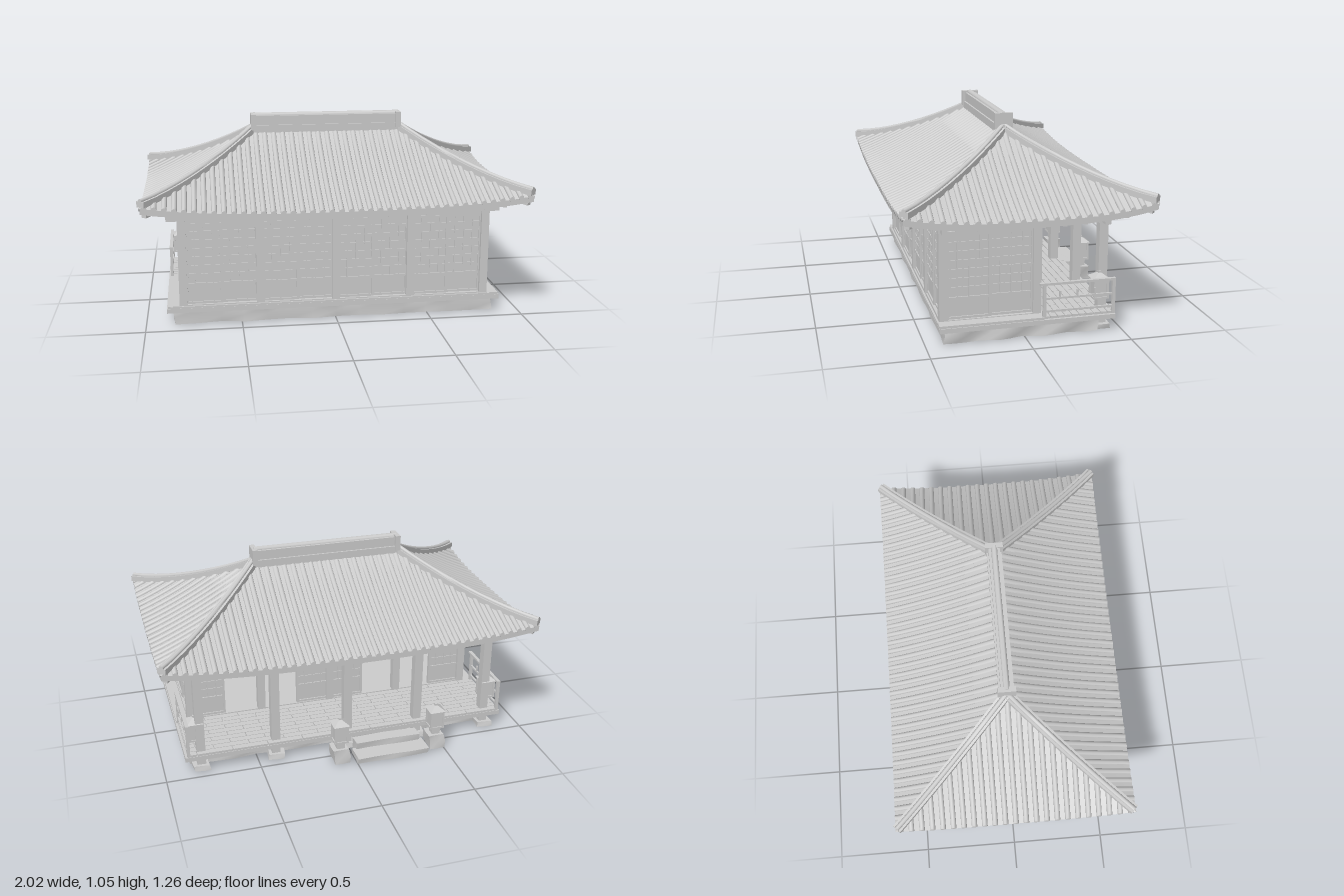
import * as THREE from 'three';
import { mergeGeometries, toCreasedNormals } from 'three/addons/utils/BufferGeometryUtils.js';
import { ParametricGeometry } from 'three/addons/geometries/ParametricGeometry.js';

const solid = new THREE.MeshStandardMaterial({ color: 0xcccccc });
const sheet = new THREE.MeshStandardMaterial({ color: 0xcccccc, side: THREE.DoubleSide });
const V = (x, y, z) => new THREE.Vector3(x, y, z);
const UP = V(0, 1, 0);
const EX = 1, EZ = 0.62, RIDGE = 0.4;   // eave half sizes, ridge half length

// box given by its limits
function box(x0, x1, y0, y1, z0, z1) {
  const g = new THREE.BoxGeometry(x1 - x0, y1 - y0, z1 - z0);
  return g.translate((x0 + x1) / 2, (y0 + y1) / 2, (z0 + z1) / 2);
}
// box given by centre, base height and size
const block = (x, y, z, w, h, d) => box(x - w / 2, x + w / 2, y, y + h, z - d / 2, z + d / 2);

// rough stone: a box whose corners wander a little
function stone(x, y, z, w, h, d, n = 2, amount = 0.006) {
  const g = new THREE.BoxGeometry(w, h, d, n, 2, n), p = g.attributes.position;
  for (let i = 0; i < p.count; i++) {
    const a = p.getX(i), b = p.getY(i), c = p.getZ(i);
    p.setXYZ(i, a + amount * Math.sin(23 * c + 40 * b + x * 9),
      b + (b < 0 ? 0.5 : 0.15) * amount * (1 + Math.sin(17 * a + 31 * c)),
      c + amount * Math.sin(19 * a + 50 * b));
  }
  g.translate(x, y + h / 2, z);
  g.computeVertexNormals();
  return g;
}

// sweeps a section of [side, up] points, counter-clockwise, along a path
function sweep(path, section) {
  const pos = [], n = section.length;
  const rings = path.map((p, i) => {
    const d = path[Math.min(i + 1, path.length - 1)].clone().sub(path[Math.max(i - 1, 0)]);
    const s = V(0, 0, 0).crossVectors(UP, d).normalize();
    return section.map(([a, b]) => p.clone().addScaledVector(s, a).addScaledVector(UP, b));
  });
  const tri = (...t) => t.forEach(v => pos.push(v.x, v.y, v.z));
  for (let i = 0; i + 1 < rings.length; i++)
    for (let j = 0; j < n; j++) {
      const k = (j + 1) % n, A = rings[i], B = rings[i + 1];
      tri(A[j], A[k], B[k]);
      tri(A[j], B[k], B[j]);
    }
  const first = rings[0], last = rings[rings.length - 1];
  for (let j = 1; j + 1 < n; j++) {
    tri(first[0], first[j + 1], first[j]);
    tri(last[0], last[j], last[j + 1]);
  }
  const g = new THREE.BufferGeometry();
  g.setAttribute('position', new THREE.Float32BufferAttribute(pos, 3));
  return toCreasedNormals(g, 0.9);
}
const rect = (w, h) => [[w / 2, -h / 2], [w / 2, h / 2], [-w / 2, h / 2], [-w / 2, -h / 2]];
const round = (r, n) => Array.from({ length: n }, (_, i) =>
  [r * Math.cos(i / n * 2 * Math.PI), r * Math.sin(i / n * 2 * Math.PI)]);

function part(parent, name, geos, mat = solid) {
  const flat = geos.map(g => {
    const f = g.index ? g.toNonIndexed() : g;
    f.deleteAttribute('uv');
    return f;
  });
  const m = new THREE.Mesh(mergeGeometries(flat), mat);
  m.name = name;
  parent.add(m);
  return m;
}

// roof height: t runs from ridge to eave, c from the middle of a face to its hip
const roofY = (t, c) => 0.635 + 0.325 * (0.72 * (1 - t) + 0.28 * (1 - t) ** 2)
  + 0.05 * Math.abs(c) ** 3 * t * t;
const soffitY = (t, c) => Math.min(roofY(t, c) - 0.034, 0.665);
const faces = [['z', 1], ['z', -1], ['x', 1], ['x', -1]];
// point on a roof face
function roofPoint([axis, sign], c, t, height = roofY) {
  const x = RIDGE + (EX - RIDGE) * t, z = EZ * t;
  return axis === 'z' ? V(c * x, height(t, c), sign * z) : V(sign * x, height(t, c), c * z);
}
// line down a roof face at a fixed distance along the eave
function slopeLine(face, along, t0, t1, steps, height) {
  return Array.from({ length: steps + 1 }, (_, i) => {
    const t = t0 + (t1 - t0) * i / steps;
    const half = face[0] === 'z' ? RIDGE + (EX - RIDGE) * t : EZ * t;
    return roofPoint(face, along / half, t, height);
  });
}

function buildRoof() {
  const roof = new THREE.Group();
  roof.name = 'roof';
  const skin = [], soffit = [], ribs = [], rafters = [], hips = [];
  for (const f of faces) {
    const grid = (fn, u, v) => new ParametricGeometry((a, b, p) => p.copy(fn(a * 2 - 1, b)), u, v);
    skin.push(grid((c, t) => roofPoint(f, c, t), 24, 10));
    skin.push(grid((c, k) => roofPoint(f, c, 0.99, (t, q) => roofY(t, q) - 0.034 * k), 24, 1));
    soffit.push(grid((c, t) => roofPoint(f, c, t * 0.99, soffitY), 24, 14));
    const long = f[0] === 'z', size = long ? EX : EZ, count = long ? 41 : 23;
    const startAt = s => Math.max(0.02, long ? (Math.abs(s) - RIDGE) / (EX - RIDGE) : Math.abs(s) / EZ);
    for (let i = 0; i < count; i++) {
      const s = ((i + 0.5) / count * 2 - 1) * size, t0 = startAt(s);
      if (t0 < 0.97) ribs.push(sweep(slopeLine(f, s, t0, 1, 8), round(0.0145, 8)));
    }
    // rafters below the eave
    const n = long ? 20 : 12;
    for (let i = 0; i < n; i++) {
      const s = ((i + 0.5) / n * 2 - 1) * size, t0 = Math.max(long ? 0.6 : 0.64, startAt(s));
      if (t0 < 0.9) rafters.push(sweep(slopeLine(f, s, t0, 0.955, 4, (t, c) => soffitY(t, c) - 0.009), rect(0.02, 0.02)));
    }
  }
  // hip ridges with upturned tips
  for (const sx of [1, -1]) for (const sz of [1, -1]) {
    const line = (t0, t1, lift) => Array.from({ length: 11 }, (_, i) => {
      const t = t0 + (t1 - t0) * i / 10;
      return V(sx * (RIDGE + (EX - RIDGE) * t), roofY(t, 1) + lift + 0.008 * t ** 8, sz * EZ * t);
    });
    hips.push(sweep(line(0.01, 0.985, 0.008), rect(0.05, 0.03)), sweep(line(0.01, 0.985, 0.024), round(0.013, 8)));
    rafters.push(sweep(line(0.62, 0.96, -0.05), rect(0.03, 0.03)));
  }
  part(roof, 'roofSurface', skin, sheet);
  part(roof, 'soffit', soffit, sheet);
  part(roof, 'tileRows', ribs);
  part(roof, 'hipRidges', hips);
  part(roof, 'rafters', rafters);
  const ridge = [box(-0.4, 0.4, 0.945, 0.985, -0.04, 0.04), box(-0.39, 0.39, 0.98, 1.035, -0.03, 0.03),
    sweep([V(-0.4, 1.033, 0), V(0.4, 1.033, 0)], round(0.017, 10))];
  for (const s of [1, -1]) ridge.push(block(s * 0.4, 0.96, 0, 0.028, 0.085, 0.094));
  part(roof, 'mainRidge', ridge);
  return roof;
}

// sliding screen in the xy plane: solid foot, lattice above
function screen(w) {
  const y0 = 0.112, y1 = 0.545, mid = 0.225, g = [box(-w / 2, w / 2, y0, y1, -0.004, 0.002)];
  for (const s of [1, -1]) g.push(block(s * (w / 2 - 0.006), y0, 0, 0.012, y1 - y0, 0.018));
  for (const y of [y0, mid - 0.012, y1 - 0.012]) g.push(block(0, y, 0, w, 0.012, 0.018));
  for (let i = 1; i < 4; i++) g.push(block(-w / 2 + w * i / 4, mid, 0.003, 0.005, y1 - mid, 0.008));
  for (let i = 1; i < 7; i++) g.push(block(0, mid + (y1 - mid) * i / 7, 0.003, w, 0.005, 0.008));
  return g;
}

function lantern(name, w) {
  const g = new THREE.Group();
  g.name = name;
  const body = [block(0, 0, 0, w, 0.01, w), block(0, 0.01, 0, w * 0.86, 0.085, w * 0.86), block(0, 0.095, 0, w, 0.008, w)];
  for (const a of [1, -1]) for (const b of [1, -1]) body.push(block(a * w * 0.42, 0, b * w * 0.42, w * 0.14, 0.1, w * 0.14));
  part(g, 'lanternBox', body);
  const cap = new THREE.CylinderGeometry(0.012, w * 0.8, 0.025, 4).toNonIndexed();
  cap.computeVertexNormals();
  part(g, 'lanternCap', [cap.rotateY(Math.PI / 4).translate(0, 0.115, 0), block(0, 0.125, 0, 0.014, 0.012, 0.014)]);
  return g;
}

export function createModel() {
  const model = new THREE.Group();
  model.add(buildRoof());

  // base and deck
  part(model, 'stoneBase', [stone(0, 0, 0.015, 1.71, 0.075, 0.785, 14)]);
  part(model, 'deck', [box(-0.89, 0.89, 0.072, 0.096, -0.455, 0.435), box(-0.82, 0.82, 0.096, 0.11, -0.08, 0.42)]);
  const planks = [];
  for (let r = 0; r < 10; r++)
    for (let i = 0; i < 10; i++) {
      const x0 = Math.max(-0.88, -0.88 + (i - (r % 2) / 2) * 0.19), x1 = Math.min(0.88, -0.88 + (i + 1 - (r % 2) / 2) * 0.19);
      if (x1 - x0 > 0.01) planks.push(box(x0, x1 - 0.004, 0.094, 0.108, -0.452 + r * 0.037, -0.419 + r * 0.037));
    }
  for (const s of [1, -1]) planks.push(block(s * 0.855, 0.094, 0.172, 0.06, 0.014, 0.52));
  planks.push(box(-0.88, 0.88, 0.094, 0.106, 0.425, 0.434));
  part(model, 'deckPlanks', planks);

  // posts, footing stones and brackets
  const posts = [], feet = [], brackets = [];
  for (let i = -2; i <= 2; i++) {
    const x = i * 0.4 + (Math.abs(i) === 2 ? Math.sign(i) * 0.003 : 0);
    for (const z of [0.403, -0.068]) posts.push(block(x, 0.095, z, 0.042, 0.56, 0.042));
    posts.push(block(x, 0.02, -0.405, 0.046, 0.63, 0.046));
    feet.push(stone(x, 0, -0.405, 0.085, 0.028, 0.085));
    brackets.push(block(x, 0.555, -0.405, 0.06, 0.02, 0.06), block(x, 0.575, -0.405, 0.13, 0.025, 0.04),
      block(x, 0.575, -0.405, 0.04, 0.025, 0.12), box(x - 0.014, x + 0.014, 0.6, 0.64, -0.42, -0.06));
  }
  part(model, 'posts', posts);
  part(model, 'footingStones', feet);
  part(model, 'brackets', brackets);

  // top beams and slatted strip over the screens
  const beams = [];
  for (const z of [0.403, -0.068, -0.405]) beams.push(box(-0.81, 0.81, 0.595, 0.665, z - 0.018, z + 0.018));
  beams.push(box(-0.88, 0.88, 0.56, 0.588, -0.42, -0.39), box(-0.88, 0.88, 0.56, 0.588, 0.39, 0.416));
  beams.push(box(-0.8, 0.8, 0.545, 0.57, -0.083, -0.053), box(-0.8, 0.8, 0.545, 0.6, 0.39, 0.41));
  for (const s of [1, -1]) {
    beams.push(block(s * 0.803, 0.595, 0, 0.034, 0.07, 0.84), block(s * 0.803, 0.545, 0.165, 0.024, 0.012, 0.46));
    for (const y of [0.565, 0.58]) beams.push(block(s * 0.803, y, 0.165, 0.012, 0.006, 0.46));
    for (let k = 0; k < 9; k++) beams.push(block(s * 0.803, 0.55, -0.03 + k * 0.05, 0.01, 0.05, 0.006));
    beams.push(block(s * 0.803, 0.557, 0.165, 0.004, 0.04, 0.46));
  }
  part(model, 'topBeams', beams);

  // screens: closed at front and sides, half open towards the porch
  const put = (name, w, x, z, turn) => {
    const m = part(model, name, screen(w));
    m.position.set(x, 0, z);
    m.rotation.y = turn;
  };
  for (let i = 0; i < 8; i++) {
    put('frontScreen', 0.19, -0.7 + i * 0.2 + (i % 2 ? -0.008 : 0.008), i % 2 ? 0.396 : 0.404, 0);
    if ([0, 3, 4, 7].includes(i)) put('porchScreen', 0.19, -0.7 + i * 0.2, -0.068, Math.PI);
  }
  for (const s of [1, -1]) for (const k of [0, 1])
    put('sideScreen', 0.222, s * (k ? 0.806 : 0.798), k ? 0.275 : 0.06, s * Math.PI / 2);

  // porch railings and corner lanterns
  for (const s of [1, -1]) {
    const rail = [block(s * 0.872, 0.27, -0.26, 0.018, 0.012, 0.39)], x = s * 0.872;
    for (const y of [0.13, 0.195]) rail.push(block(x, y, -0.27, 0.01, 0.01, 0.355));
    for (const z of [-0.09, -0.447]) rail.push(block(x, 0.1, z, 0.016, 0.175, 0.016));
    for (const z of [-0.17, -0.26, -0.35]) rail.push(block(x, 0.205, z, 0.008, 0.03, 0.008));
    part(model, 'railing', rail);
    const l = lantern('cornerLantern', 0.08);
    l.position.set(s * 0.825, 0.17, -0.387);
    model.add(l);
  }

  // steps flanked by standing lanterns
  part(model, 'steps', [stone(-0.2, 0, -0.485, 0.36, 0.066, 0.07, 4, 0.003), stone(-0.2, 0, -0.56, 0.4, 0.03, 0.115, 4, 0.003)]);
  for (const x of [0.08, -0.46]) {
    const l = lantern('standingLantern', 0.078);
    l.position.set(x, 0.12, -0.543);
    part(l, 'lanternStand', [stone(0, -0.12, 0, 0.085, 0.08, 0.085), block(0, -0.045, 0, 0.045, 0.05, 0.045)]);
    model.add(l);
  }
  return model;
}
